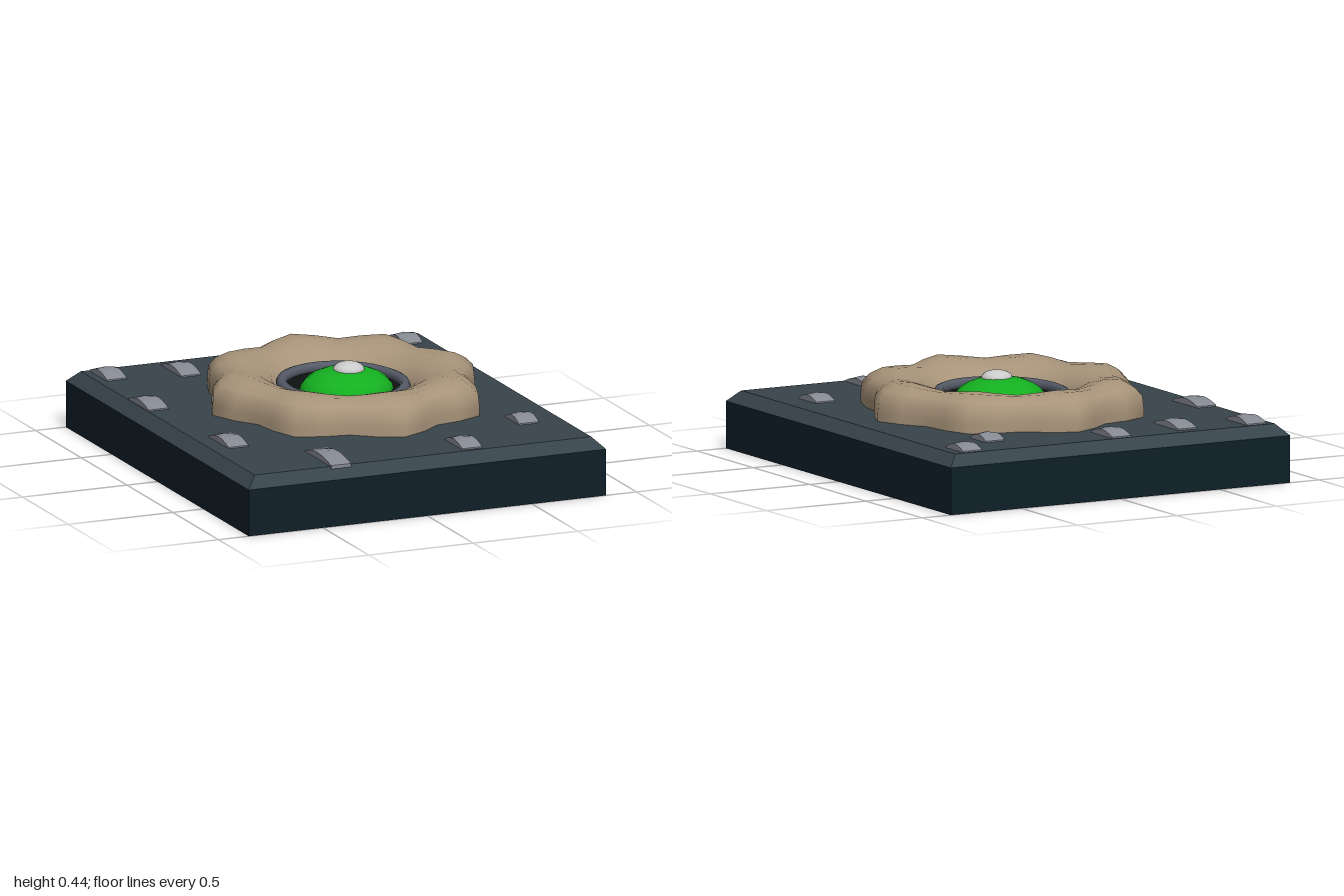
import * as THREE from 'three';

const mat = (color, extra = {}) => new THREE.MeshStandardMaterial({ color, ...extra });

function add(parent, name, geometry, material, x = 0, y = 0, z = 0) {
  const mesh = new THREE.Mesh(geometry, material);
  mesh.name = name;
  mesh.position.set(x, y, z);
  parent.add(mesh);
  return mesh;
}

// Rectangular frustum: a box whose top face is pulled in by an inset
function bevelSlab(w, h, d, inset) {
  const g = new THREE.BoxGeometry(w, h, d);
  const p = g.attributes.position;
  for (let i = 0; i < p.count; i++) {
    if (p.getY(i) > 0) {
      p.setX(i, p.getX(i) - Math.sign(p.getX(i)) * inset);
      p.setZ(i, p.getZ(i) - Math.sign(p.getZ(i)) * inset);
    }
  }
  g.computeVertexNormals();
  return g;
}

// Eight-lobed ring swept around an oval, from the outer foot over the crest to the inner edge
function lobedRing(rx, rz) {
  const profile = [[0, 0.255], [0, 0.3], [0.02, 0.355], [0.12, 0.39], [0.28, 0.42],
    [0.5, 0.42], [0.72, 0.398], [0.9, 0.36], [1, 0.31]];
  const segs = 32, n = profile.length, pos = [], idx = [];
  for (let s = 0; s < segs; s++) {
    const a = (s / segs) * Math.PI * 2;
    const notch = (1 - Math.cos(8 * a)) / 2;
    const outer = 1 - 0.125 * notch;
    for (const [t, y] of profile) {
      const r = outer + (0.455 - outer) * t;
      const drop = 0.02 * notch * Math.sin(Math.PI * t);
      pos.push(Math.cos(a) * r * rx, y - drop, Math.sin(a) * r * rz);
    }
  }
  for (let s = 0; s < segs; s++) {
    for (let k = 0; k < n - 1; k++) {
      const a = s * n + k, b = ((s + 1) % segs) * n + k;
      idx.push(a, a + 1, b, b, a + 1, b + 1);
    }
  }
  const g = new THREE.BufferGeometry();
  g.setAttribute('position', new THREE.Float32BufferAttribute(pos, 3));
  g.setIndex(idx);
  g.computeVertexNormals();
  return g;
}

// Small stud with its top arched along z and slightly crowned across x
function archedStud(w, len) {
  const g = new THREE.BoxGeometry(w, 0.02, len, 2, 1, 6);
  const p = g.attributes.position;
  for (let i = 0; i < p.count; i++) {
    if (p.getY(i) < 0) continue;
    const arch = Math.cos((p.getZ(i) / len) * Math.PI);
    const crown = 1 - Math.abs(p.getX(i)) / (w / 2);
    p.setY(i, 0.01 + arch * (0.022 + 0.007 * crown));
  }
  g.computeVertexNormals();
  return g;
}

export function createModel() {
  const model = new THREE.Group();
  model.name = 'eyeTile';

  // Slab with bevelled top
  add(model, 'baseBlock', new THREE.BoxGeometry(1.71, 0.21, 2), mat(0x0f1f29), 0, 0.105, 0);
  add(model, 'bevelTop', bevelSlab(1.71, 0.05, 2, 0.05), mat(0x37434b), 0, 0.235, 0);

  // Eye assembly, slightly off the slab centre
  const eye = new THREE.Group();
  eye.name = 'eye';
  eye.position.set(0.055, 0, -0.045);
  model.add(eye);
  add(eye, 'lobedRing', lobedRing(0.627, 0.675), mat(0xa8947a, { side: THREE.DoubleSide }));

  const rim = add(eye, 'innerRim', new THREE.TorusGeometry(0.265, 0.024, 8, 32).rotateX(Math.PI / 2),
    mat(0x555b68), 0, 0.335, 0);
  rim.scale.z = 1.15;

  const socket = add(eye, 'socket', new THREE.CylinderGeometry(0.27, 0.27, 0.05, 32),
    mat(0x0d1210), 0, 0.285, 0);
  socket.scale.z = 1.15;

  // Iris dome and highlight
  const iris = add(eye, 'iris', new THREE.SphereGeometry(1, 16, 6, 0, Math.PI * 2, 0, Math.PI / 2),
    mat(0x14b020), 0.015, 0.305, 0);
  iris.scale.set(0.21, 0.105, 0.195);
  const glint = add(eye, 'highlight', new THREE.SphereGeometry(1, 16, 10), mat(0xeeeeee), 0.02, 0.402, 0.012);
  glint.scale.set(0.07, 0.035, 0.07);

  // Studs scattered on the slab: x, z, length
  const studs = [
    [-0.72, -0.845, 0.19], [-0.395, -0.79, 0.22], [-0.04, -0.845, 0.19], [0.71, -0.86, 0.155],
    [0.495, -0.69, 0.14], [-0.755, -0.325, 0.22], [-0.685, 0.39, 0.22], [-0.395, 0.815, 0.29],
    [0.245, 0.835, 0.19], [0.64, 0.57, 0.155],
  ];
  const studMat = mat(0x858992);
  for (const [x, z, len] of studs) add(model, 'stud', archedStud(0.095, len), studMat, x, 0.256, z);

  return model;
}
